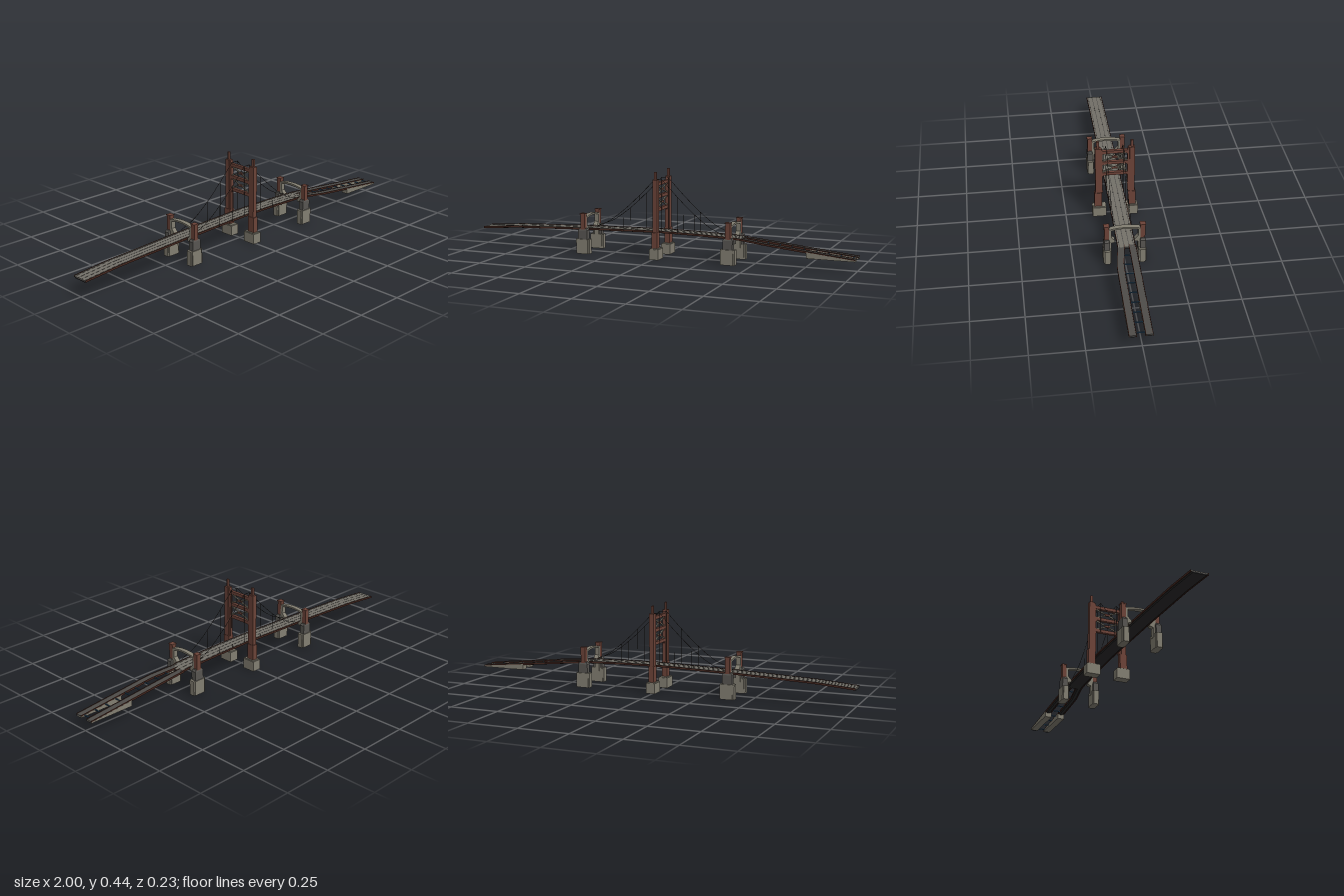
import * as THREE from 'three';

const mat = (name, color, side = THREE.FrontSide) => {
  const m = new THREE.MeshStandardMaterial({ color, side });
  m.name = name;
  return m;
};

export function createModel() {
  const brown = mat('towerBrown', 0x6c4338);
  const darkBrown = mat('edgeBrown', 0x44271f);
  const concrete = mat('concrete', 0x827e71);
  const slate = mat('slate', 0x575551);
  const road = mat('roadGrey', 0x747169);
  const asphalt = mat('asphalt', 0x4d4b48);
  const under = mat('undersideBlack', 0x2a292a);
  const blue = mat('steelBlue', 0x2f5674);
  const cableMat = mat('cableBlack', 0x2b2724);

  const bridge = new THREE.Group();
  bridge.name = 'bridge';

  const add = (parent, name, geo, material) => {
    const mesh = new THREE.Mesh(geo, material);
    mesh.name = name;
    parent.add(mesh);
    return mesh;
  };
  // Box given by its ranges on x, y and z
  const box = (parent, name, m, x0, x1, y0, y1, z0, z1) => {
    const mesh = add(parent, name, new THREE.BoxGeometry(x1 - x0, y1 - y0, Math.abs(z1 - z0)), m);
    mesh.position.set((x0 + x1) / 2, (y0 + y1) / 2, (z0 + z1) / 2);
    return mesh;
  };
  // Plate drawn in (z, y) and extruded along x
  const plate = (parent, name, m, shape, depth) => {
    const geo = new THREE.ExtrudeGeometry(shape, { depth, bevelEnabled: false, curveSegments: 8 });
    geo.translate(0, 0, -depth / 2).rotateY(-Math.PI / 2);
    return add(parent, name, geo, m);
  };
  // Sweep a (z, y) profile along a path; the profile runs over the top from +z to -z
  const sweep = (parent, name, m, path, profile) => {
    const pos = [];
    const at = (i, j) => {
      const p = path[i], q = profile[j % profile.length];
      return [p[0], p[1] + q[1], p[2] + q[0]];
    };
    for (let i = 0; i < path.length - 1; i++) {
      for (let j = 0; j < profile.length; j++) {
        const a = at(i, j), b = at(i + 1, j), c = at(i + 1, j + 1), d = at(i, j + 1);
        pos.push(...a, ...b, ...c, ...a, ...c, ...d);
      }
    }
    const e = path.length - 1;
    for (let j = 1; j < profile.length - 1; j++) {
      pos.push(...at(0, 0), ...at(0, j), ...at(0, j + 1));
      pos.push(...at(e, 0), ...at(e, j + 1), ...at(e, j));
    }
    const geo = new THREE.BufferGeometry();
    geo.setAttribute('position', new THREE.Float32BufferAttribute(pos, 3));
    geo.computeVertexNormals();
    return add(parent, name, geo, m);
  };
  const rect = (z0, z1, y0, y1) => [[z1, y1], [z0, y1], [z0, y0], [z1, y0]];

  // Height of the road surface along the bridge
  const heights = [[-1, 0.092], [-0.8, 0.108], [-0.4, 0.123], [0, 0.133], [0.2, 0.131],
    [0.4, 0.125], [0.6, 0.106], [0.8, 0.085], [1, 0.065]];
  const roadY = (x) => {
    let k = 0;
    while (k < heights.length - 2 && x > heights[k + 1][0]) k++;
    const [a, b] = [heights[k], heights[k + 1]];
    return a[1] + (b[1] - a[1]) * (x - a[0]) / (b[0] - a[0]);
  };
  const pathOf = (x0, x1, zAt, n = 24) => Array.from({ length: n + 1 }, (_, i) => {
    const x = x0 + (x1 - x0) * i / n;
    return [x, roadY(x), zAt(x)];
  });

  // Roadway: slab, dark underside, edge girders and lane strips
  const roadway = (name, path, w, surface, strips) => {
    const g = new THREE.Group();
    g.name = name;
    bridge.add(g);
    sweep(g, 'roadSurface', surface, path, rect(-w + 0.002, w - 0.002, -0.005, -0.001));
    sweep(g, 'underside', under, path,
      [[w - 0.003, -0.005], [-w + 0.003, -0.005], [-w + 0.01, -0.011], [w - 0.01, -0.011]]);
    for (const s of [-1, 1]) {
      const z = s * (w - 0.0015);
      sweep(g, 'edgeGirder', darkBrown, path, rect(z - 0.0015, z + 0.0015, -0.009, 0.001));
    }
    for (const z of strips) {
      sweep(g, 'laneStrip', asphalt, path, rect(z - 0.0015, z + 0.0015, -0.001, -0.0003));
    }
  };
  roadway('mainDeck', pathOf(-1, 0.45, () => -0.002, 30), 0.043, road, [-0.034, -0.012, 0.012, 0.034]);

  // Two ramps that part beyond the second pier
  const zBack = () => -0.031;
  const zFront = (x) => 0.021 + 0.022 * THREE.MathUtils.smoothstep(x, 0.4, 0.6);
  for (const [name, zAt] of [['backRamp', zBack], ['frontRamp', zFront]]) {
    roadway(name, pathOf(0.435, 1, zAt, 20), 0.0175, asphalt, []);
    const wedge = [0.765, 1].map((x) => [x, 0, zAt(x)]);
    const geo = sweep(bridge, name + 'Abutment', concrete, wedge, rect(-0.0182, 0.0182, 0.055, 0.082)).geometry;
    const p = geo.attributes.position;
    for (let i = 0; i < p.count; i++) {
      if (p.getY(i) > 0.06) p.setY(i, roadY(p.getX(i)) - 0.004);
    }
    geo.computeVertexNormals();
  }
  // Cross ties between the ramps
  for (let i = 0; i < 9; i++) {
    const x = 0.5 + i * 0.06, y = roadY(x);
    box(bridge, 'rampTie', blue, x - 0.002, x + 0.002, y - 0.008, y - 0.003, -0.014, zFront(x) - 0.017);
  }

  // Central tower
  const tower = new THREE.Group();
  tower.name = 'centralTower';
  tower.position.x = 0.008;
  bridge.add(tower);
  for (const s of [-1, 1]) {
    box(tower, 'towerFooting', concrete, -0.024, 0.024, 0, 0.052, s * 0.045, s * 0.115);
    box(tower, 'footingCap', concrete, -0.02, 0.02, 0.052, 0.056, s * 0.049, s * 0.111);
    box(tower, 'legBase', brown, -0.014, 0.014, 0.056, 0.135, s * 0.066, s * 0.104);
    box(tower, 'leg', brown, -0.012, 0.012, 0.135, 0.397, s * 0.073, s * 0.099);
    const inner = new THREE.Shape([[0.074, 0.135], [0.074, 0.396], [0.067, 0.396], [0.062, 0.38], [0.062, 0.135]]
      .map(([z, y]) => new THREE.Vector2(s * z, y)));
    plate(tower, 'legInnerRib', brown, inner, 0.016);
    box(tower, 'finial', brown, -0.005, 0.005, 0.397, 0.435, s * 0.079, s * 0.092);
    // Knee plates under each strut
    for (const y of [0.238, 0.303, 0.366]) {
      const knee = new THREE.Shape([[0.063, y], [0.053, y], [0.063, y - 0.01]]
        .map(([z, v]) => new THREE.Vector2(s * z, v)));
      plate(tower, 'kneePlate', brown, knee, 0.01);
    }
  }
  for (const y of [0.245, 0.31, 0.373]) {
    box(tower, 'strut', brown, -0.008, 0.008, y - 0.008, y + 0.008, -0.063, 0.063);
  }
  for (const y of [0.2775, 0.3415]) {
    for (const s of [-1, 1]) {
      const brace = add(tower, 'crossBrace', new THREE.BoxGeometry(0.006, 0.006, 0.132), concrete);
      brace.position.y = y;
      brace.rotation.x = s * Math.atan2(0.046, 0.122);
    }
    box(tower, 'braceHub', brown, -0.005, 0.005, y - 0.005, y + 0.005, -0.014, 0.014);
  }

  // Side piers, each joined by a concrete portal arch
  for (const px of [-0.387, 0.387]) {
    const pier = new THREE.Group();
    pier.name = 'sidePier';
    pier.position.x = px;
    bridge.add(pier);
    for (const s of [-1, 1]) {
      box(pier, 'pierFooting', concrete, -0.037, 0.037, 0, 0.075, s * 0.071, s * 0.098);
      box(pier, 'pierFootingCore', concrete, -0.029, 0.029, 0, 0.0745, s * 0.066, s * 0.103);
      box(pier, 'pierBase', slate, -0.025, 0.025, 0.075, 0.12, s * 0.073, s * 0.1);
      const cap = add(pier, 'pierShoulder', new THREE.CylinderGeometry(0.018, 0.025, 0.01, 4, 1), slate);
      cap.geometry.rotateY(Math.PI / 4);
      cap.geometry = cap.geometry.toNonIndexed();
      cap.geometry.computeVertexNormals();
      cap.scale.set(Math.SQRT2, 1, 0.0135 / 0.025 * Math.SQRT2);
      cap.position.set(0, 0.125, s * 0.0865);
      box(pier, 'pierColumn', brown, -0.012, 0.012, 0.125, 0.202, s * 0.075, s * 0.098);
      box(pier, 'pierCap', brown, -0.014, 0.014, 0.202, 0.207, s * 0.073, s * 0.101);
    }
    const arch = new THREE.Shape();
    arch.moveTo(-0.076, 0.058);
    arch.lineTo(-0.076, 0.187);
    arch.quadraticCurveTo(0, 0.206, 0.076, 0.187);
    arch.lineTo(0.076, 0.058);
    for (const [z, y] of [[0.064, 0.058], [0.064, 0.108], [0.047, 0.112], [0.047, 0.122], [0.065, 0.142], [0.065, 0.18]]) {
      arch.lineTo(z, y);
    }
    arch.quadraticCurveTo(0, 0.196, -0.065, 0.18);
    for (const [z, y] of [[0.065, 0.142], [0.047, 0.122], [0.047, 0.112], [0.064, 0.108], [0.064, 0.058]]) {
      arch.lineTo(-z, y);
    }
    plate(pier, 'portalArch', concrete, arch, 0.024);
  }

  // Suspension cables and hangers
  for (const z of [-0.043, 0.043]) {
    for (const s of [-1, 1]) {
      const pts = [[0.018, 0.393], [0.1, 0.31], [0.19, 0.228], [0.28, 0.163], [0.365, 0.129]]
        .map(([x, y]) => new THREE.Vector3(0.006 + s * x, y, z));
      const curve = new THREE.CatmullRomCurve3(pts);
      add(bridge, 'mainCable', new THREE.TubeGeometry(curve, 24, 0.0012, 5), cableMat);
      for (const p of pts.slice(0, 3)) {
        const y0 = roadY(p.x) - 0.004;
        const h = add(bridge, 'hanger', new THREE.CylinderGeometry(0.001, 0.001, p.y - y0, 5), cableMat);
        h.position.set(p.x, (p.y + y0) / 2, z);
      }
    }
    box(bridge, 'cableSaddle', cableMat, -0.013, 0.025, 0.392, 0.394, z - 0.001, z + 0.001);
  }
  return bridge;
}
